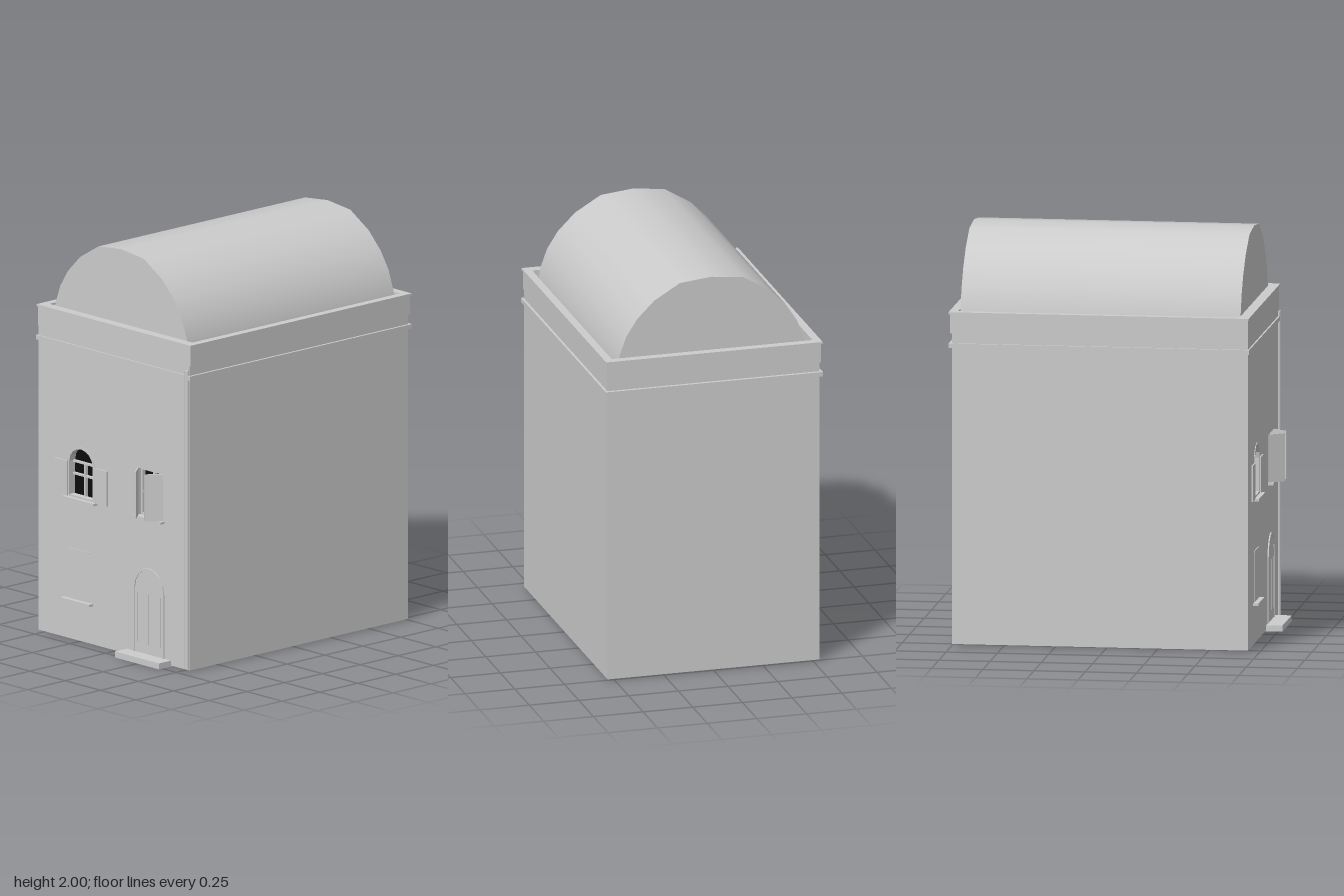
import * as THREE from 'three';

const stone = new THREE.MeshStandardMaterial({ color: 0xcccccc });
stone.name = 'pale grey plaster';
const dark = new THREE.MeshStandardMaterial({ color: 0x0c0c0c });
dark.name = 'dark interior';

const FRONT = 0.692, BACK = -0.752, HALF = 0.534;

export function createModel() {
  const model = new THREE.Group();

  const add = (name, geometry, material = stone) => {
    const mesh = new THREE.Mesh(geometry, material);
    mesh.name = name;
    model.add(mesh);
    return mesh;
  };

  // box given by its limits
  const box = (name, x0, x1, y0, y1, z0, z1, material) => {
    const mesh = add(name, new THREE.BoxGeometry(x1 - x0, y1 - y0, z1 - z0), material);
    mesh.position.set((x0 + x1) / 2, (y0 + y1) / 2, (z0 + z1) / 2);
    return mesh;
  };

  const rect = (x0, x1, y0, y1, Type = THREE.Shape) => new Type([
    [x0, y0], [x1, y0], [x1, y1], [x0, y1],
  ].map(([x, y]) => new THREE.Vector2(x, y)));

  // outline with straight sides and a faceted arched head
  const arch = (x0, x1, y0, spring, top, Type = THREE.Shape) => {
    const pts = [new THREE.Vector2(x0, y0), new THREE.Vector2(x1, y0)];
    for (let i = 0; i <= 8; i++) {
      const a = (i / 8) * Math.PI;
      pts.push(new THREE.Vector2((x0 + x1) / 2 + Math.cos(a) * (x1 - x0) / 2,
        spring + Math.sin(a) * (top - spring)));
    }
    return new Type(pts);
  };

  const extrude = (name, shape, z0, z1, material) => {
    const mesh = add(name, new THREE.ExtrudeGeometry(shape, { depth: z1 - z0, bevelEnabled: false }), material);
    mesh.position.z = z0;
    return mesh;
  };

  // frame made of an outline with a smaller opening
  const frame = (name, outer, inner, z0, z1) => {
    outer.holes.push(inner);
    return extrude(name, outer, z0, z1);
  };

  // horizontal ring around the roof
  const ring = (name, y0, y1, x, zBack, zFront, innerX, innerBack, innerFront) => {
    const shape = rect(-x, x, -zFront, -zBack);
    shape.holes.push(rect(-innerX, innerX, -innerFront, -innerBack, THREE.Path));
    const mesh = extrude(name, shape, 0, y1 - y0);
    mesh.position.y = y0;
    mesh.rotation.x = -Math.PI / 2;
  };

  // main block and pierced front wall
  box('body', -HALF, HALF, 0.005, 1.53, BACK, 0.64);
  const wall = rect(-HALF, HALF, 0.005, 1.53);
  wall.holes.push(arch(-0.325, -0.14, 0.715, 0.89, 0.97, THREE.Path));
  wall.holes.push(rect(0.17, 0.345, 0.715, 0.95, THREE.Path));
  extrude('frontWall', wall, 0.64, FRONT);

  // cornice, parapet and rim
  box('cornice', -0.546, 0.546, 1.455, 1.477, -0.768, 0.70);
  ring('parapet', 1.525, 1.62, 0.538, -0.76, 0.692, 0.505, -0.725, 0.647);
  ring('parapetRim', 1.62, 1.63, 0.545, -0.768, 0.697, 0.505, -0.725, 0.647);

  // barrel vault: smooth shell and two end walls
  const half = [[0.48, 1.52], [0.466, 1.635], [0.43, 1.735], [0.375, 1.82], [0.29, 1.905], [0.16, 1.983]];
  const profile = [...half, [0, 2], ...half.slice().reverse().map(([x, y]) => [-x, y])];
  const positions = [], normals = [], index = [];
  profile.forEach(([x, y], i) => {
    const n = new THREE.Vector2(x, y - 1.52).normalize();
    for (const z of [0.647, -0.72]) {
      positions.push(x, y, z);
      normals.push(n.x, n.y, 0);
    }
    if (i) {
      const a = 2 * (i - 1);
      index.push(a, a + 1, a + 2, a + 1, a + 3, a + 2);
    }
  });
  const vault = new THREE.BufferGeometry();
  vault.setAttribute('position', new THREE.Float32BufferAttribute(positions, 3));
  vault.setAttribute('normal', new THREE.Float32BufferAttribute(normals, 3));
  vault.setIndex(index);
  add('vault', vault);
  const end = new THREE.ShapeGeometry(new THREE.Shape(profile.map(([x, y]) => new THREE.Vector2(x, y))));
  add('vaultFrontEnd', end).position.z = 0.647;
  const rear = add('vaultBackEnd', end);
  rear.position.z = -0.72;
  rear.rotation.y = Math.PI;

  // arched window with shutters laid flat against the wall
  extrude('archedWindowPane', arch(-0.325, -0.14, 0.715, 0.89, 0.97), 0.641, 0.646, dark);
  frame('archedWindowFrame', arch(-0.327, -0.138, 0.715, 0.89, 0.975),
    arch(-0.315, -0.15, 0.725, 0.89, 0.963, THREE.Path), 0.66, 0.695);
  box('archedWindowMullion', -0.238, -0.226, 0.72, 0.89, 0.655, 0.67);
  for (const y of [0.825, 0.887]) box('archedWindowBar', -0.32, -0.145, y - 0.005, y + 0.005, 0.655, 0.67);
  box('archedWindowSill', -0.34, -0.12, 0.704, 0.716, 0.68, 0.718);
  box('leftShutter', -0.415, -0.325, 0.715, 0.89, FRONT, 0.70);
  box('rightShutter', -0.14, -0.045, 0.715, 0.89, FRONT, 0.70);

  // square window with shutters swung half open
  box('squareWindowPane', 0.17, 0.345, 0.715, 0.95, 0.641, 0.646, dark);
  frame('squareWindowFrame', rect(0.17, 0.345, 0.715, 0.95),
    rect(0.182, 0.333, 0.725, 0.94, THREE.Path), 0.655, 0.675);
  box('squareWindowMullion', 0.25, 0.264, 0.72, 0.945, 0.655, 0.67);
  box('squareWindowBar', 0.175, 0.34, 0.825, 0.835, 0.655, 0.67);
  box('squareWindowSill', 0.153, 0.357, 0.704, 0.716, 0.68, 0.718);
  for (const side of [-1, 1]) {
    const shutter = add('swungShutter', new THREE.BoxGeometry(0.09, 0.235, 0.006));
    shutter.position.set(0.257 - side * -0.06, 0.833, 0.728);
    shutter.rotation.y = side * 0.9;
  }

  // closed lower window
  box('lowerWindowPanel', -0.325, -0.17, 0.205, 0.455, FRONT, 0.694);
  box('lowerWindowLintel', -0.325, -0.17, 0.453, 0.459, FRONT, 0.696);
  box('lowerWindowSill', -0.355, -0.15, 0.195, 0.207, 0.68, 0.718);

  // door with arched surround, plank joints and step
  extrude('door', arch(0.148, 0.343, 0.025, 0.355, 0.45), FRONT, 0.694);
  frame('doorSurround', arch(0.137, 0.354, 0.025, 0.35, 0.462),
    arch(0.149, 0.342, 0.026, 0.35, 0.45, THREE.Path), 0.68, 0.698);
  for (const x of [0.165, 0.245, 0.326]) box('doorBatten', x - 0.003, x + 0.003, 0.08, 0.33, FRONT, 0.697);
  box('doorstep', 0.09, 0.403, 0, 0.03, 0.66, 0.772);

  // drainpipe at the corner
  const pipe = add('drainpipe', new THREE.CylinderGeometry(0.012, 0.012, 1.49, 10));
  pipe.position.set(0.517, 0.755, 0.693);

  return model;
}
